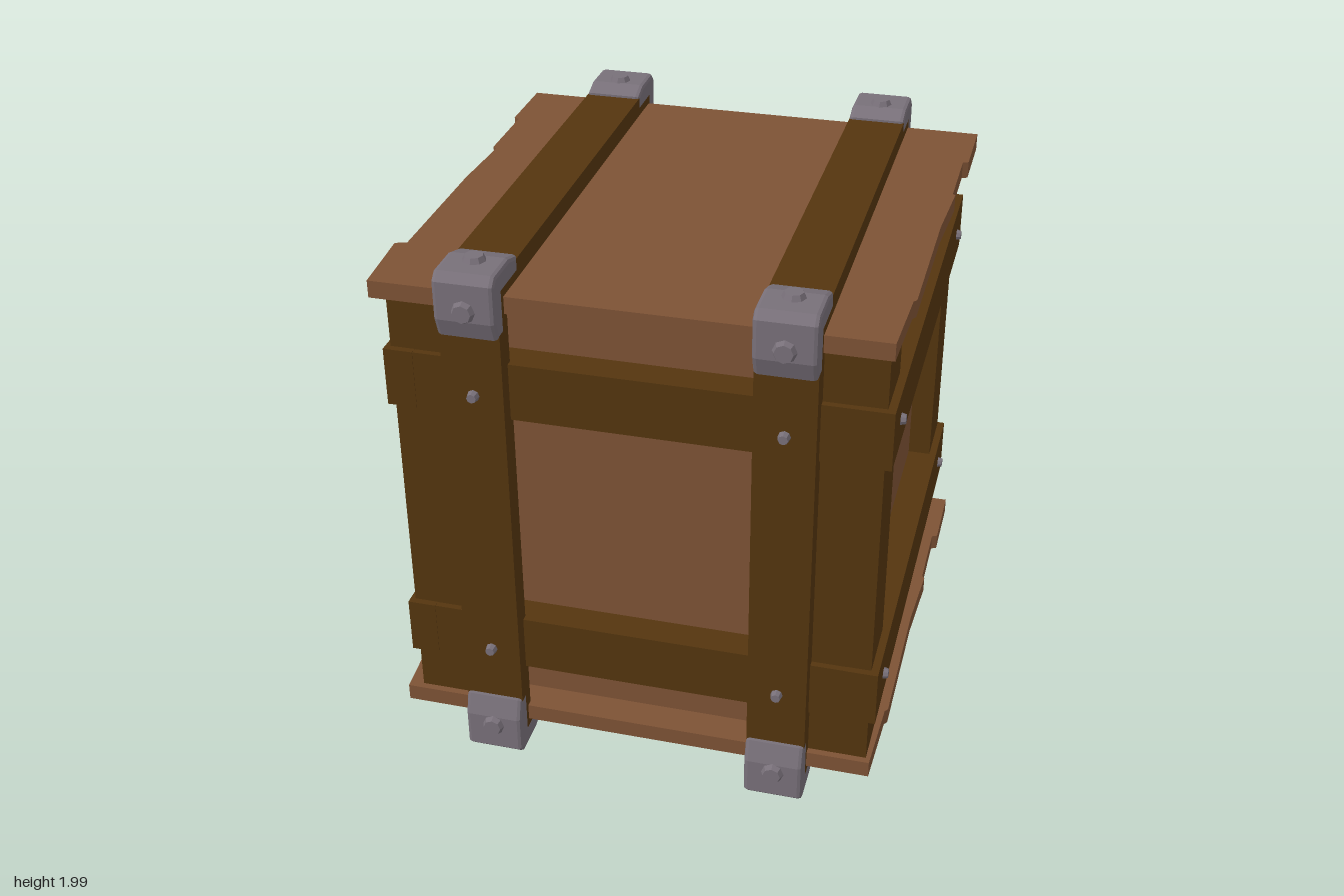
import * as THREE from 'three';

const wood = new THREE.MeshStandardMaterial({ color: 0x7d5235, name: 'plank wood' });
const darkWood = new THREE.MeshStandardMaterial({ color: 0x54350e, name: 'dark frame wood' });
const metal = new THREE.MeshStandardMaterial({ color: 0x787079, name: 'iron' });
metal.flatShading = true;

export function createModel() {
  const crate = new THREE.Group();
  crate.name = 'crate';
  const midY = 1.005;

  // box given by its minimum and maximum corners
  function block(name, mat, x0, x1, y0, y1, z0, z1, parent = crate) {
    const m = new THREE.Mesh(new THREE.BoxGeometry(x1 - x0, y1 - y0, z1 - z0), mat);
    m.position.set((x0 + x1) / 2, (y0 + y1) / 2, (z0 + z1) / 2);
    m.name = name;
    parent.add(m);
  }

  // faceted bolt head standing on a surface and pointing along dir
  function bolt(name, parent, radius, height, pos, dir) {
    const g = new THREE.CylinderGeometry(radius * 0.75, radius, height, 8);
    g.translate(0, height / 2, 0);
    const m = new THREE.Mesh(g, metal);
    m.quaternion.setFromUnitVectors(new THREE.Vector3(0, 1, 0), new THREE.Vector3(...dir));
    m.position.set(...pos);
    m.name = name;
    parent.add(m);
  }

  // recessed side panels
  block('panelBody', wood, -0.745, 0.755, 0.16, 1.85, -0.75, 0.75);

  // lid and base boards with uneven plank ends, outline in (x, z)
  const outline = [
    [-0.88, -0.87], [0.90, -0.87], [0.90, -0.59], [0.88, -0.58], [0.88, -0.29], [0.89, -0.28],
    [0.875, 0], [0.875, 0.56], [0.865, 0.575], [0.855, 0.865], [-0.88, 0.865], [-0.90, 0.58],
    [-0.86, 0.565], [-0.86, 0], [-0.845, -0.28], [-0.86, -0.295], [-0.86, -0.585], [-0.88, -0.595],
  ];
  const boardShape = new THREE.Shape(outline.map(([x, z]) => new THREE.Vector2(x, -z)));
  const boardGeo = new THREE.ExtrudeGeometry(boardShape, { depth: 0.062, bevelEnabled: false });
  boardGeo.rotateX(-Math.PI / 2);
  for (const [name, y] of [['baseBoards', 0.13], ['lidBoards', 1.818]]) {
    const m = new THREE.Mesh(boardGeo, wood);
    m.position.y = y;
    m.name = name;
    crate.add(m);
  }

  // corner posts
  for (const [x0, x1] of [[-0.83, -0.59], [0.60, 0.84]])
    for (const [z0, z1] of [[-0.84, -0.595], [0.60, 0.84]])
      block('cornerPost', darkWood, x0, x1, 0.17, 1.83, z0, z1);

  // horizontal rails on all four sides, with bolts on the left and right
  for (const y of [0.48, 1.525]) {
    const lo = y - 0.105, hi = y + 0.105;
    block('frontRail', darkWood, -0.845, 0.865, lo, hi, 0.75, 0.863);
    block('backRail', darkWood, -0.845, 0.865, lo, hi, -0.855, -0.75);
    block('leftRail', darkWood, 0.755, 0.867, lo - 0.001, hi + 0.001, -0.85, 0.865);
    block('rightRail', darkWood, -0.848, -0.745, lo - 0.001, hi + 0.001, -0.85, 0.865);
    for (const z of [-0.71, 0.71]) {
      bolt('railBolt', crate, 0.022, 0.02, [0.864, y, z], [1, 0, 0]);
      bolt('railBolt', crate, 0.022, 0.02, [-0.845, y, z], [-1, 0, 0]);
    }
  }

  // angle bracket profile, outer corner at the origin
  const b = 0.015;
  const profile = [
    [-0.225, -0.07], [-0.225, -0.035], [-0.16, -b], [-0.035, -b], [-b, -0.035],
    [-b, -0.16], [-0.035, -0.215], [-0.07, -0.215], [-0.07, -0.07],
  ].map(([x, y]) => new THREE.Vector2(x, y));
  const bracketGeo = new THREE.ExtrudeGeometry(new THREE.Shape(profile), {
    depth: 0.18, bevelEnabled: true, bevelThickness: b, bevelSize: b, bevelSegments: 2,
  });
  bracketGeo.translate(0, 0, -0.09);
  bracketGeo.rotateY(-Math.PI / 2);

  // two straps wrapped round the crate, capped with iron corners
  for (const x of [-0.515, 0.527]) {
    const strap = new THREE.Group();
    strap.name = 'strap';
    strap.position.x = x;
    crate.add(strap);
    const w = 0.104;
    block('strapTop', darkWood, -w, w, 1.87, 1.95, -0.912, 0.92, strap);
    block('strapBottom', darkWood, -w, w, 0.06, 0.14, -0.912, 0.92, strap);
    block('strapFront', darkWood, -w, w, 0.14, 1.87, 0.84, 0.92, strap);
    block('strapBack', darkWood, -w, w, 0.14, 1.87, -0.912, -0.84, strap);

    for (const y of [0.48, 1.53]) {
      bolt('strapBolt', strap, 0.022, 0.026, [0, y, 0.918], [0, 0, 1]);
      bolt('strapBolt', strap, 0.022, 0.026, [0, y, -0.91], [0, 0, -1]);
    }

    for (const [sy, sz, turn] of [[1, 1, 0], [1, -1, -1], [-1, 1, 1], [-1, -1, 2]]) {
      const corner = new THREE.Group();
      corner.name = 'cornerBracket';
      corner.position.set(0, midY + sy * 0.978, sz * 0.957);
      corner.rotation.x = turn * Math.PI / 2;
      const plate = new THREE.Mesh(bracketGeo, metal);
      plate.name = 'bracketPlate';
      corner.add(plate);
      bolt('bracketBolt', corner, 0.042, 0.022, [0, -0.126, -0.003], [0, 0, 1]);
      bolt('bracketBolt', corner, 0.042, 0.022, [0, -0.003, -0.126], [0, 1, 0]);
      strap.add(corner);
    }
  }
  return crate;
}
